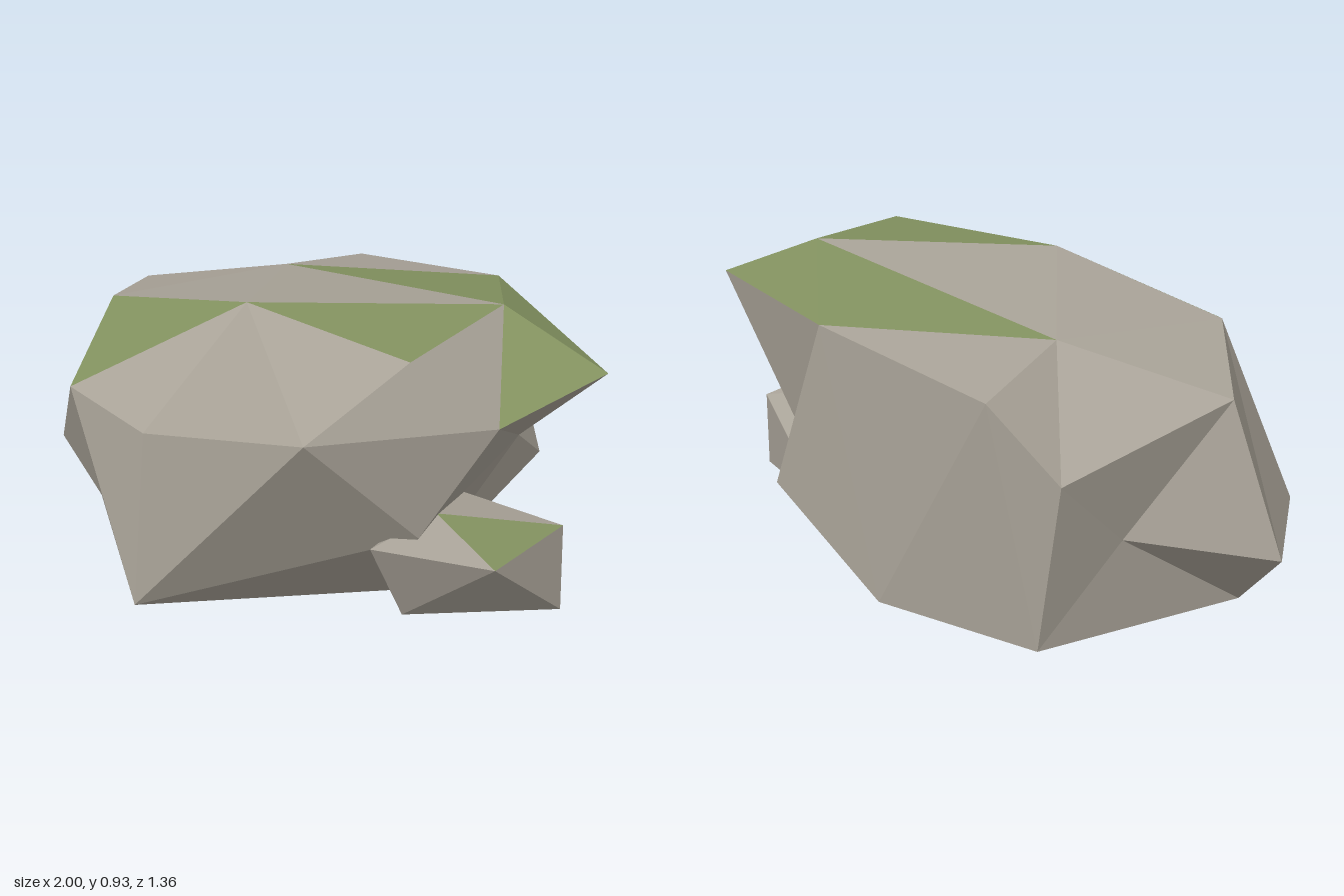
import * as THREE from 'three';

const stone = new THREE.MeshStandardMaterial({ color: 0xa8a297, flatShading: true });
const moss = new THREE.MeshStandardMaterial({ color: 0x82915f, flatShading: true });

// Facets are triples of corner letters; each is wound to face away from the core point.
function facets(name, corners, faces, core, material) {
  const positions = [];
  for (const face of faces.split(' ')) {
    const [a, b, c] = [...face].map((k) => new THREE.Vector3(...corners[k]));
    const normal = b.clone().sub(a).cross(c.clone().sub(a));
    const outward = a.clone().add(b).add(c).divideScalar(3).sub(core);
    const tri = normal.dot(outward) < 0 ? [a, c, b] : [a, b, c];
    tri.forEach((p) => positions.push(p.x, p.y, p.z));
  }
  const geometry = new THREE.BufferGeometry();
  geometry.setAttribute('position', new THREE.Float32BufferAttribute(positions, 3));
  geometry.computeVertexNormals();
  const mesh = new THREE.Mesh(geometry, material);
  mesh.name = name;
  return mesh;
}

// Large boulder corners
const boulder = {
  // crown
  A: [-0.31, 0.82, -0.27], B: [0.67, 0.93, -0.20], C: [0.06, 0.90, 0.26],
  D: [0.72, 0.88, 0.26], I: [-0.55, 0.78, 0.27], J: [-0.82, 0.70, -0.11],
  N: [0.30, 0.84, -0.62], P: [1.00, 0.78, -0.28], Q: [-0.35, 0.76, -0.67],
  // shoulders
  E: [0.64, 0.70, 0.60], G: [-0.01, 0.56, 0.62], H: [-0.32, 0.63, 0.64],
  W: [0.90, 0.68, 0.08], R: [-0.58, 0.55, -0.63],
  // waist
  K: [-1.00, 0.235, -0.11], L: [-0.80, 0.235, 0.30], M: [-0.30, 0.25, 0.55],
  S: [-0.63, 0.31, -0.39], T: [0.49, 0.285, -0.63], U: [0.53, 0.40, -0.47],
  X: [0.77, 0.36, 0.265],
  // base
  F: [0.00, 0.02, 0.68], V: [0.05, 0.025, -0.68], Y: [0.52, 0.03, 0.03],
  a: [-0.80, 0.01, 0.00], b: [0.20, 0.00, 0.29], r: [-0.50, 0.01, -0.63],
};

// Small stone corners
const pebble = {
  A: [0.97, 0.29, 0.16], B: [0.97, 0.06, -0.15], C: [0.95, 0.32, -0.17],
  D: [0.68, 0.33, 0.37], E: [0.69, 0.08, 0.24], F: [0.77, 0.415, 0.19],
  G: [0.52, 0.07, 0.05], H: [0.55, 0.09, -0.36], I: [0.62, 0.38, -0.04],
};

export function createModel() {
  const model = new THREE.Group();
  model.name = 'mossyRocks';

  const boulderStone = [
    'ABC ACI AIJ AJR ARQ AQN',          // crown
    'CHG CGE CED DEW DBW',              // front slope
    'HGF GEF HFM HML IHL IKL IJK',      // front and left wall
    'EXF EWX WUX WPU NUP FXY XUY',      // overhanging side
    'NTU TYU NVT NQV QVr QrR',          // back wall
    'RrS RSJ SJK SKa Sar KLa LMa MFa',  // notch and lower left
    'Fba abr rbV VbY YbF VYT',          // underside
  ].join(' ');
  const core = new THREE.Vector3(0, 0.45, 0);
  const big = new THREE.Group();
  big.name = 'boulder';
  big.add(
    facets('boulderStone', boulder, boulderStone, core, stone),
    facets('boulderMoss', boulder, 'ABN BCD BPW BNP CIH', core, moss),
  );

  const smallCore = new THREE.Vector3(0.75, 0.22, 0.02);
  const small = new THREE.Group();
  small.name = 'smallStone';
  small.add(
    facets('smallStoneBody', pebble, 'DEA DAF AEB ABC CBH FCI ICH FID DIG IHG DGE EGB GHB', smallCore, stone),
    facets('smallStoneMoss', pebble, 'ACF', smallCore, moss),
  );

  model.add(big, small);
  return model;
}
